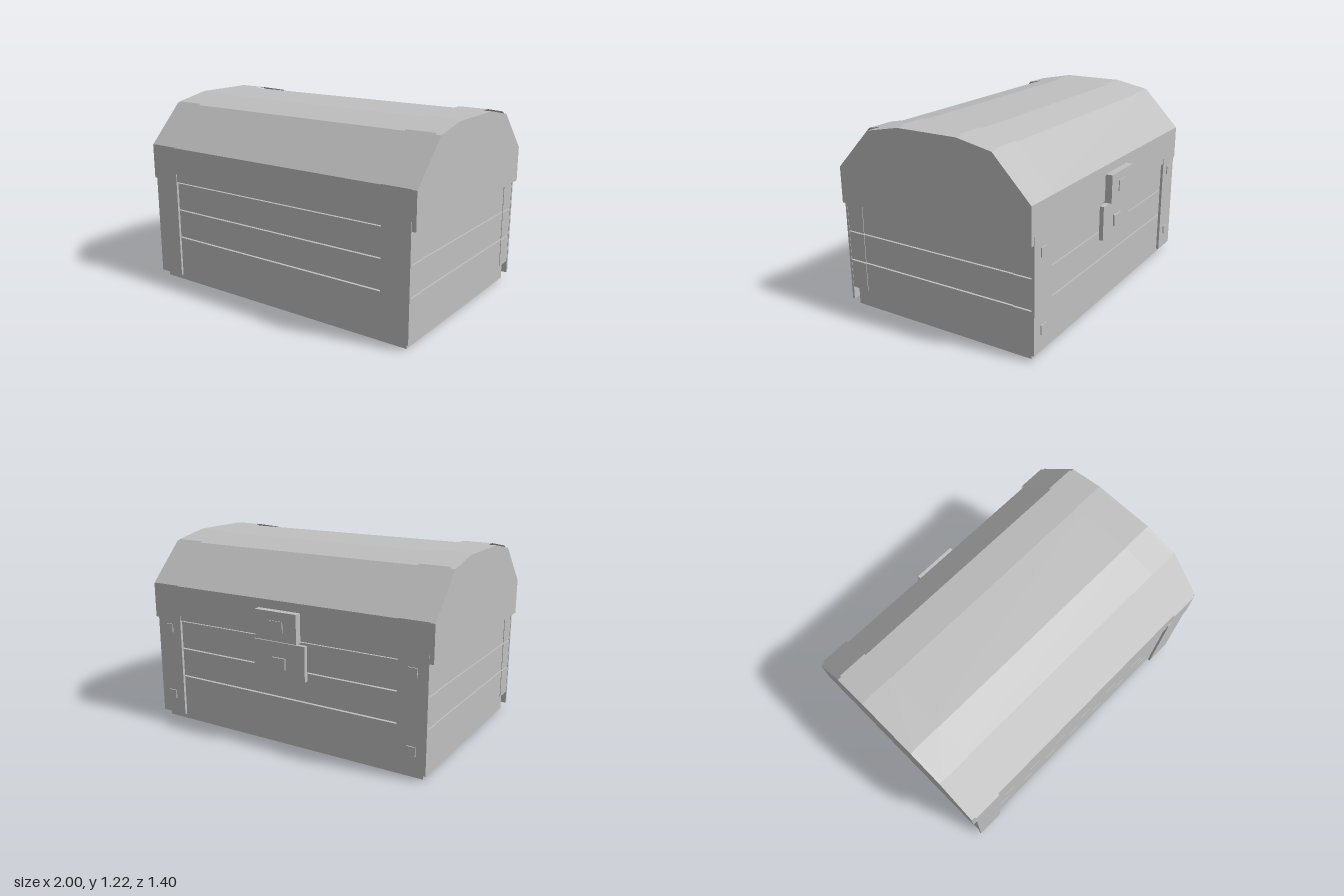
import * as THREE from 'three';

export function createModel() {
  const chest = new THREE.Group();
  chest.name = 'chest';
  const grey = new THREE.MeshStandardMaterial({ color: 0xc0c0c0, side: THREE.DoubleSide });
  grey.name = 'plain grey';

  function add(name, geometry) {
    const mesh = new THREE.Mesh(geometry, grey);
    mesh.name = name;
    chest.add(mesh);
    return mesh;
  }
  // Box given by its limits on each axis
  function box(name, x0, x1, y0, y1, z0, z1) {
    const mesh = add(name, new THREE.BoxGeometry(x1 - x0, y1 - y0, z1 - z0));
    mesh.position.set((x0 + x1) / 2, (y0 + y1) / 2, (z0 + z1) / 2);
    return mesh;
  }

  const FRONT = 0.678, BACK = -0.633, THICK = 0.118;

  // Base plinth
  box('base', -0.945, 0.945, 0, 0.122, -0.616, 0.661);

  // Three courses of boards with narrow gaps between them
  for (const [y0, y1] of [[0.122, 0.305], [0.314, 0.495], [0.503, 0.68]]) {
    box('frontBoard', -0.972, 0.972, y0, y1, FRONT - THICK, FRONT);
    box('backBoard', -0.972, 0.972, y0, y1, BACK, BACK + THICK);
    for (const s of [-1, 1]) {
      box('sideBoard', s * 0.91 - 0.058, s * 0.91 + 0.058, y0, y1, BACK + THICK, FRONT - THICK);
    }
  }

  // Corner plates, with rivets on the back pair
  for (const s of [-1, 1]) {
    const x = s * 0.881;
    box('frontCornerPlate', x - 0.093, x + 0.093, 0.04, 0.74, FRONT, 0.693);
    box('backCornerPlate', x - 0.093, x + 0.093, 0.04, 0.74, -0.65, BACK);
    for (const y of [0.172, 0.63]) {
      box('rivet', x - 0.028, x + 0.028, y - 0.028, y + 0.028, -0.657, -0.65);
    }
  }

  // Lid outline from back to front as [z, y], enlarged by d
  const lidProfile = (d, bottom) => {
    const half = [[0.667 + d, bottom], [0.667 + d, 0.915 + d * 0.6],
      [0.4275 + d * 0.5, 1.165 + d], [0.202, 1.21 + d]];
    return [...half.map(([z, y]) => [0.02 - z, y]),
      ...half.reverse().map(([z, y]) => [0.02 + z, y])];
  };

  // Solid faceted lid
  const lidShape = new THREE.Shape(lidProfile(0, 0.69).map(([z, y]) => new THREE.Vector2(z, y)));
  const lid = new THREE.ExtrudeGeometry(lidShape, { depth: 2, bevelEnabled: false });
  lid.translate(0, 0, -1).rotateY(-Math.PI / 2);
  add('lid', lid);

  // Thin bands wrapped over the lid near both ends
  const bandProfile = lidProfile(0.011, 0.704);
  for (const s of [-1, 1]) {
    const plane = new THREE.PlaneGeometry(0.19, 1, 1, bandProfile.length - 1);
    const p = plane.attributes.position;
    for (let i = 0; i < p.count; i++) {
      const [z, y] = bandProfile[Math.floor(i / 2)];
      p.setXYZ(i, p.getX(i) + s * 0.88, y, z);
    }
    const band = plane.toNonIndexed();
    band.computeVertexNormals();
    add('lidBand', band);
  }

  // Lock on the back: lower plate and upper hasp, each with a small stud
  box('lockPlate', -0.187, 0.183, 0.445, 0.665, -0.66, BACK);
  box('lockStud', -0.05, 0.045, 0.5, 0.57, -0.67, -0.66);
  box('hasp', -0.15, 0.145, 0.68, 0.86, -0.692, BACK);
  box('haspStud', -0.055, 0.05, 0.735, 0.805, -0.698, -0.692);

  return chest;
}
